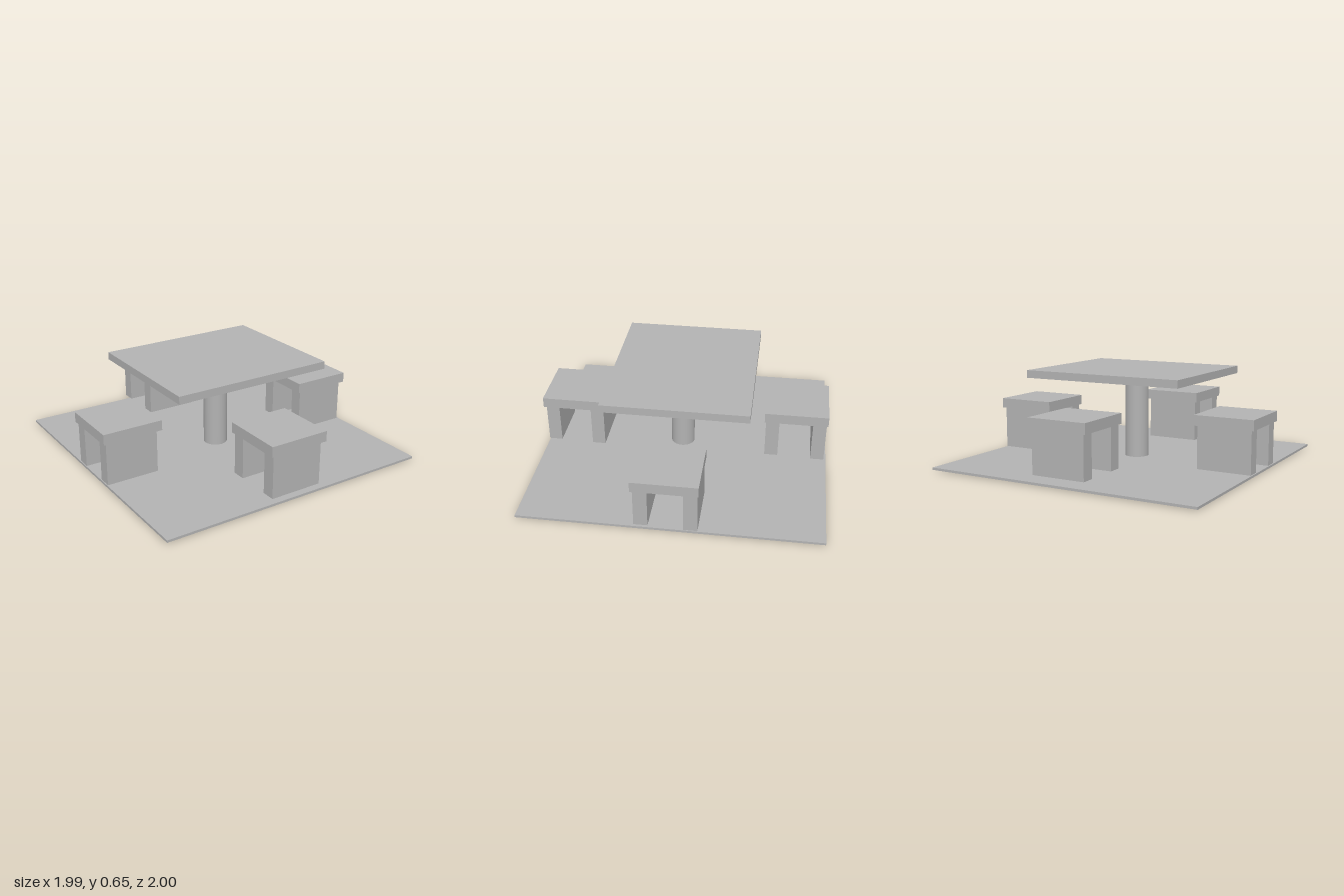
import * as THREE from 'three';

const stone = new THREE.MeshStandardMaterial({ color: 0xb2b2b2 });
stone.name = 'stone grey';

// Box given by its extents on each axis
function slab(name, [x0, x1], [y0, y1], [z0, z1]) {
  const mesh = new THREE.Mesh(new THREE.BoxGeometry(x1 - x0, y1 - y0, z1 - z0), stone);
  mesh.position.set((x0 + x1) / 2, (y0 + y1) / 2, (z0 + z1) / 2);
  mesh.name = name;
  return mesh;
}

// Stool: square seat on two upright panels that run along x
function stool(name, x, y, z) {
  const group = new THREE.Group();
  group.name = name;
  group.position.set(x, y, z);
  group.add(slab('seat', [-0.211, 0.211], [0.293, 0.364], [-0.216, 0.216]));
  group.add(slab('frontLeg', [-0.194, 0.174], [0, 0.293], [0.115, 0.207]));
  group.add(slab('backLeg', [-0.194, 0.186], [0, 0.293], [-0.207, -0.115]));
  return group;
}

export function createModel() {
  const model = new THREE.Group();
  model.name = 'picnicTable';

  // Ground plate
  model.add(slab('groundPlate', [-0.985, 0.97], [0.007, 0.023], [-1, 1]));

  // Table
  model.add(slab('tableTop', [-0.597, 0.56], [0.598, 0.651], [-0.475, 0.503]));
  const pillar = new THREE.Mesh(new THREE.CylinderGeometry(0.083, 0.083, 0.6, 32), stone);
  pillar.position.set(-0.027, 0.3, 0.033);
  pillar.name = 'tablePillar';
  model.add(pillar);

  // Stools, each a little off the grid
  model.add(stool('frontStool', -0.035, 0.054, 0.784));
  model.add(stool('backStool', -0.029, 0.065, -0.774));
  model.add(stool('rightStool', -0.787, 0.026, 0.024));
  model.add(stool('leftStool', 0.781, 0.026, 0.014));

  return model;
}
